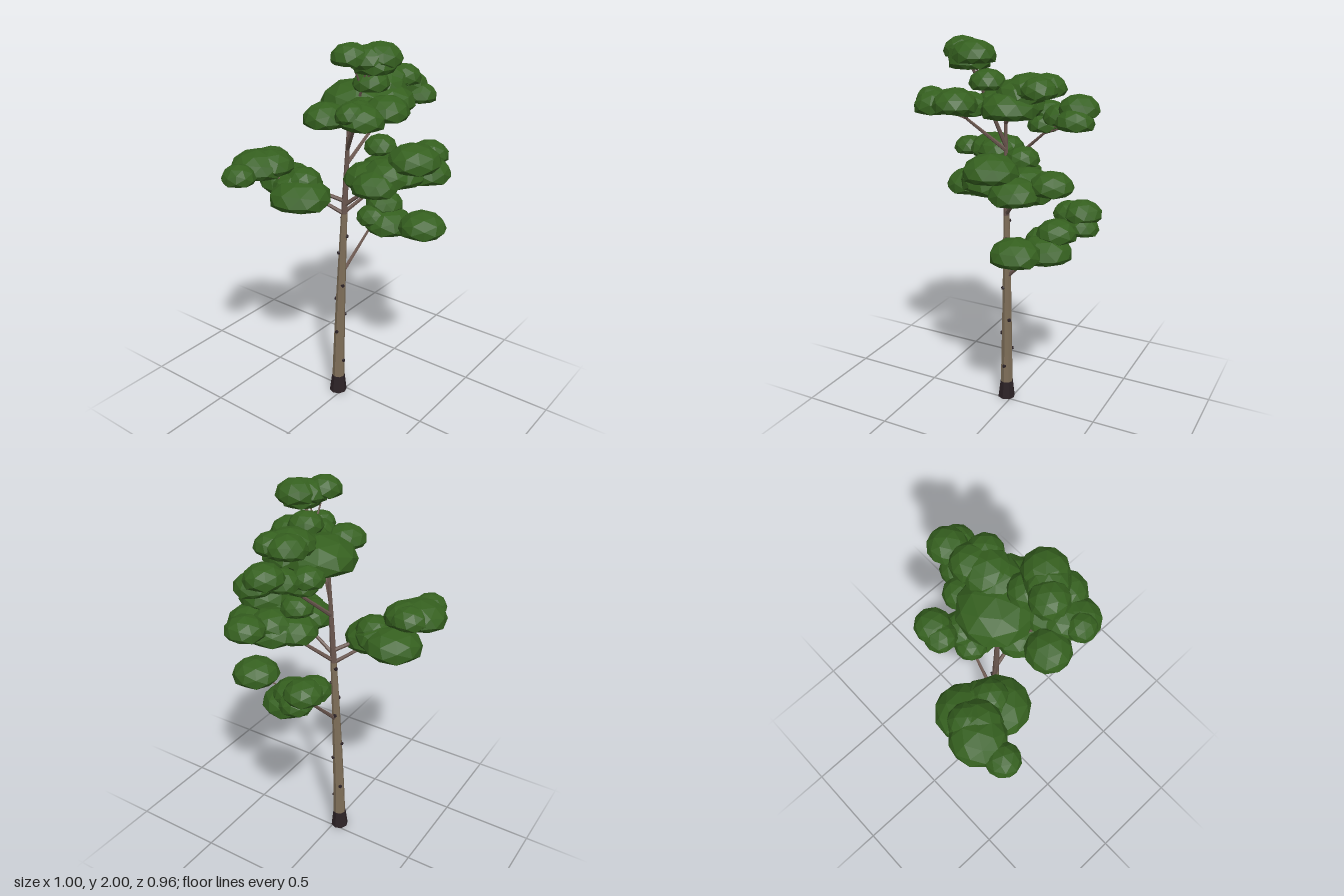
import * as THREE from 'three';
import { mergeVertices } from 'three/addons/utils/BufferGeometryUtils.js';

const UP = new THREE.Vector3(0, 1, 0);
const TRUNK_HEIGHT = 1.64;

function material(name, color) {
  const m = new THREE.MeshStandardMaterial({ color, flatShading: true });
  m.name = name;
  return m;
}

function add(parent, name, geometry, mat) {
  const mesh = new THREE.Mesh(geometry, mat);
  mesh.name = name;
  parent.add(mesh);
  return mesh;
}

// Tapered limb between two points
function limb(parent, name, a, b, ra, rb, sides, mat) {
  const dir = b.clone().sub(a);
  const mesh = add(parent, name, new THREE.CylinderGeometry(rb, ra, dir.length(), sides), mat);
  mesh.position.copy(a).lerp(b, 0.5);
  mesh.quaternion.setFromUnitVectors(UP, dir.normalize());
}

// Faceted dome with a flattened underside
function makeDome(floor) {
  const ball = new THREE.IcosahedronGeometry(1, 1);
  ball.deleteAttribute('uv');
  ball.deleteAttribute('normal');
  const dome = mergeVertices(ball);
  const p = dome.attributes.position;
  for (let i = 0; i < p.count; i++) p.setY(i, Math.max(p.getY(i), floor));
  dome.computeVertexNormals();
  return dome;
}

// Gently leaning trunk: centre and radius at a height
function trunkAt(y) {
  const t = y / TRUNK_HEIGHT;
  return {
    point: new THREE.Vector3(-0.035 + 0.027 * t, y, -0.027 + 0.057 * t ** 1.5),
    r: 0.036 - 0.029 * t,
  };
}

export function createModel() {
  const tree = new THREE.Group();
  tree.name = 'tree';
  const leaf = material('leaf green', 0x35601f);
  const bark = material('pale bark', 0x80705a);
  const upperBark = material('brown bark', 0x6c5850);
  const dark = material('dark bark', 0x2c2226);

  // Trunk in tapering lengths, paler below
  const lengths = 6;
  for (let i = 0; i < lengths; i++) {
    const a = trunkAt(TRUNK_HEIGHT * i / lengths);
    const b = trunkAt(TRUNK_HEIGHT * (i + 1) / lengths);
    limb(tree, 'trunk', a.point, b.point, a.r, b.r, 8, i < 4 ? bark : upperBark);
  }
  limb(tree, 'trunkBase', trunkAt(0).point, trunkAt(0.1).point, 0.048, 0.036, 8, dark);

  // Small dark knots spiralling up the trunk
  for (let i = 0; i < 10; i++) {
    const { point, r } = trunkAt(0.205 + 0.095 * i);
    const out = new THREE.Vector3(Math.sin(i * 2.4), 0, Math.cos(i * 2.4));
    const knot = add(tree, 'knot', new THREE.CylinderGeometry(0.009, 0.011, 0.014, 6), dark);
    knot.quaternion.setFromUnitVectors(UP, out);
    knot.position.copy(point).addScaledVector(out, r);
  }

  // A bough leaves the trunk, forks below its foliage and carries a dome on each twig.
  // Each dome is [x, z, radius, underside height]; wider domes are taller.
  const floor = -0.28;
  const domeGeometry = makeDome(floor);
  let spin = 0;
  function bough(name, from, ...outerDomes) {
    const group = new THREE.Group();
    group.name = name;
    tree.add(group);
    // One more dome fills the heart of the cluster
    const heart = [0, 1, 2, 3].map((k) => outerDomes.reduce((sum, d) => sum + d[k], 0) / outerDomes.length);
    const tips = [...outerDomes, heart].map(([x, z, r, bottom]) => {
      const scaleY = (0.04 + 0.58 * r) / (1 - floor);
      const dome = add(group, 'foliage', domeGeometry, leaf);
      dome.position.set(x, bottom - floor * scaleY, z);
      dome.scale.set(r, scaleY, r);
      dome.rotation.y = spin += 2.4;
      return dome.position;
    });
    const start = trunkAt(from).point;
    const fork = start.clone().lerp(tips[tips.length - 1], 0.7);
    limb(group, 'branch', start, fork, 0.011, 0.007, 6, upperBark);
    tips.forEach((tip) => limb(group, 'twig', fork, tip, 0.006, 0.003, 5, upperBark));
  }

  // Lowest bough
  bough('lowBough', 0.74, [0.25, 0.1, 0.135, 0.94], [0.2, 0.34, 0.125, 1], [0.2, 0.03, 0.09, 0.98],
    [0.3, -0.085, 0.09, 1.1], [0.37, -0.075, 0.1, 1.11], [0.385, -0.04, 0.085, 1.05]);

  // Middle boughs
  bough('innerBackBough', 1.09, [-0.19, -0.14, 0.16, 1.17], [-0.11, -0.285, 0.15, 1.2], [-0.145, -0.155, 0.095, 1.25]);
  bough('outerBackBough', 1.16, [-0.27, -0.345, 0.14, 1.31], [-0.185, -0.33, 0.1, 1.33],
    [-0.42, -0.33, 0.088, 1.31], [-0.22, -0.3, 0.12, 1.32]);
  bough('midSideBough', 1.1, [0.35, 0.27, 0.105, 1.34], [0.2, 0.35, 0.125, 1.3], [0.2, 0.22, 0.14, 1.28],
    [0.13, 0.12, 0.085, 1.41], [0.14, 0.14, 0.13, 1.28]);
  bough('midFrontBough', 1.14, [0.08, 0.35, 0.135, 1.39], [0.06, 0.26, 0.15, 1.31], [-0.09, 0.24, 0.115, 1.29],
    [-0.02, 0.16, 0.13, 1.29]);

  // Crown boughs
  bough('crownRightBough', 1.44, [-0.26, 0.085, 0.108, 1.64], [-0.29, 0.25, 0.075, 1.69], [-0.25, 0.28, 0.105, 1.66],
    [-0.12, 0.32, 0.108, 1.68], [-0.12, 0.2, 0.11, 1.65]);
  bough('topBough', 1.46, [-0.17, 0.155, 0.092, 1.91], [-0.06, 0.24, 0.106, 1.9], [-0.09, 0.23, 0.1, 1.87]);
  bough('crownLeftBough', 1.36, [0.2, 0.04, 0.08, 1.57], [0.21, 0, 0.085, 1.62], [0.405, 0.1, 0.098, 1.67],
    [0.41, 0.16, 0.092, 1.62]);
  bough('crownBough', 1.58, [0.035, 0.05, 0.185, 1.64], [0.09, 0.18, 0.14, 1.65], [0.165, 0.12, 0.12, 1.74],
    [0.235, 0.09, 0.1, 1.75], [0.235, 0.175, 0.09, 1.75], [-0.03, 0.17, 0.09, 1.77]);

  return tree;
}
